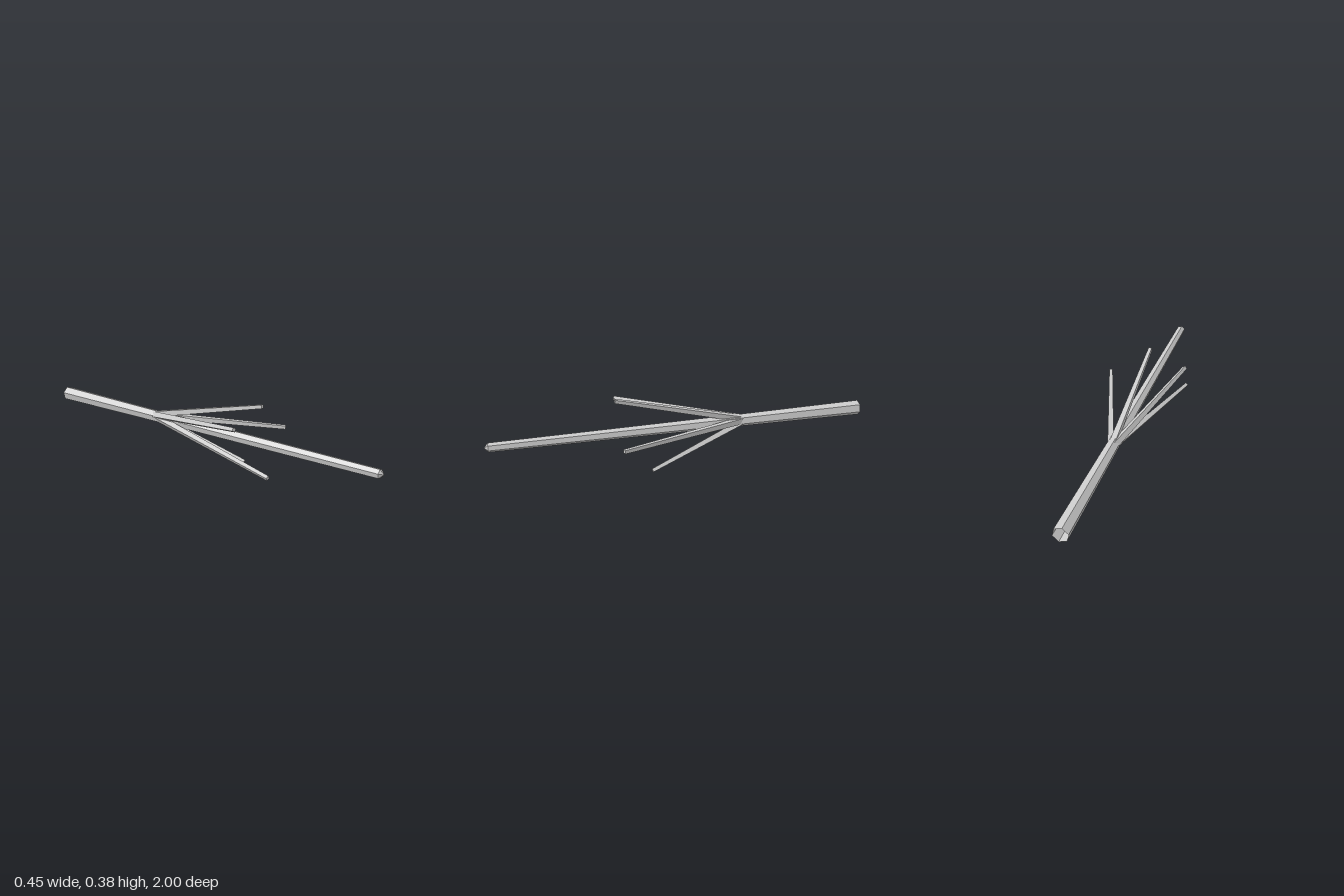
import * as THREE from 'three';

const material = new THREE.MeshStandardMaterial({
  color: 0xcccccc, flatShading: true, side: THREE.DoubleSide,
});

export function createModel() {
  const model = new THREE.Group();
  const cx = -0.025, cy = 0.193;

  // Six-sided tapering trunk lying along z, open at the back, pointed at the front
  const hexTurn = THREE.MathUtils.degToRad(13);
  const profile = [[0.0395, -1], [0.0325, -0.33], [0.024, 0.98], [0, 1]];
  const trunkGeometry = new THREE.LatheGeometry(
    profile.map(([r, z]) => new THREE.Vector2(r, z)), 6);
  trunkGeometry.rotateX(Math.PI / 2).rotateZ(hexTurn);
  const trunk = new THREE.Mesh(trunkGeometry, material);
  trunk.name = 'trunk';
  trunk.position.set(cx, cy, 0);
  model.add(trunk);

  // Square tapering branches fanning forward from one whorl
  const root = new THREE.Vector3(cx, cy + 0.002, -0.36);
  const tips = [
    [-0.013, 0.377, 0.345],
    [-0.214, 0.31, 0.32],
    [-0.185, 0.099, 0.495],
    [0.083, 0.014, 0.18],
    [0.214, 0.205, 0.345],
  ];
  tips.forEach((p, i) => {
    const tip = new THREE.Vector3(...p);
    const length = root.distanceTo(tip);
    const geometry = new THREE.CylinderGeometry(0.0127, 0.0215, length, 4);
    geometry.rotateY(Math.PI / 4).translate(0, length / 2, 0);

    // Turn one flat side away from the trunk
    const along = tip.clone().sub(root).normalize();
    const side = new THREE.Vector3(0, 0, 1).cross(along).normalize();
    const outward = new THREE.Vector3().crossVectors(side, along);
    const branch = new THREE.Mesh(geometry, material);
    branch.name = `branch${i + 1}`;
    branch.quaternion.setFromRotationMatrix(
      new THREE.Matrix4().makeBasis(side, along, outward));
    branch.position.copy(root);
    model.add(branch);
  });

  return model;
}
